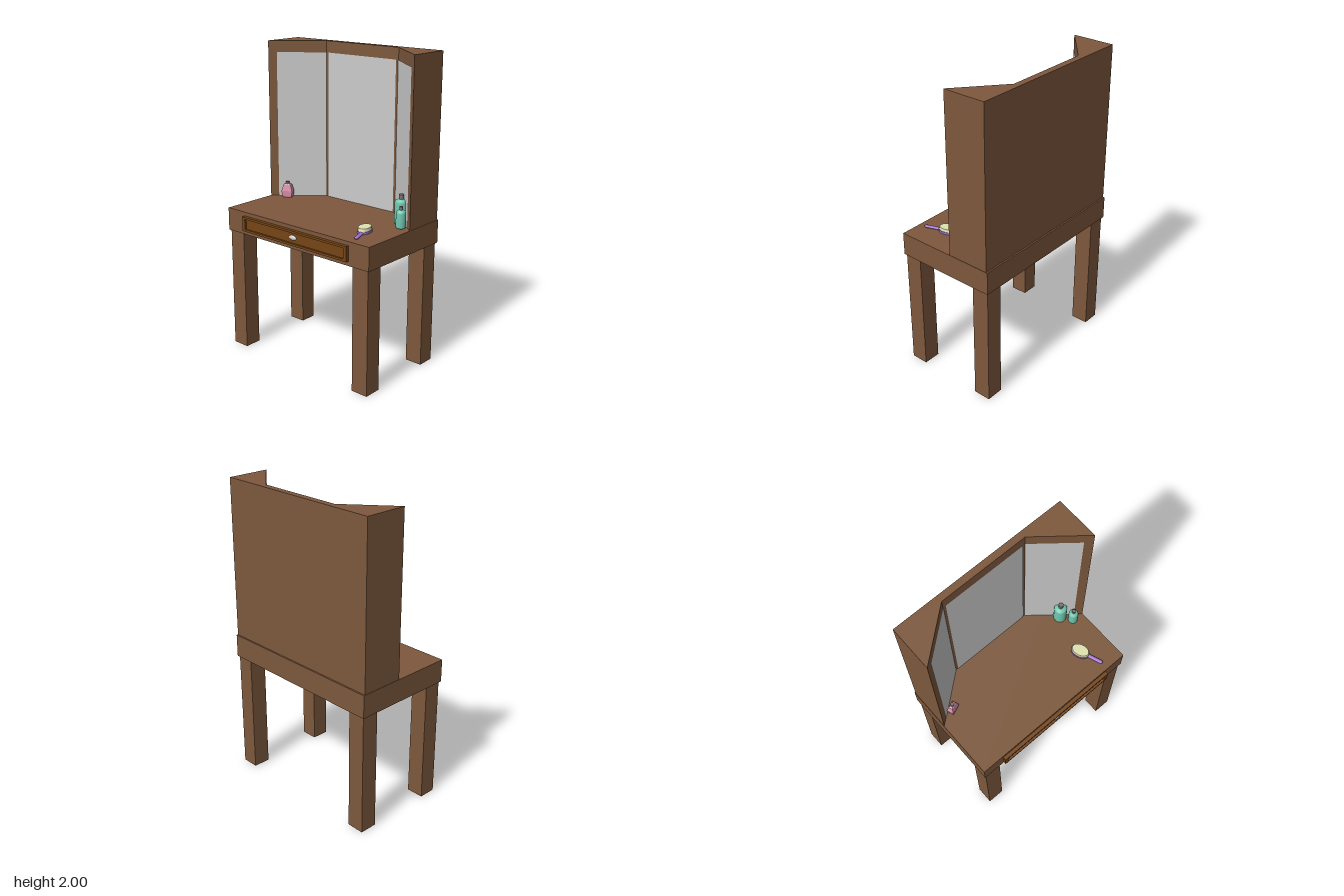
import * as THREE from 'three';

const mat = (color, extra = {}) => new THREE.MeshStandardMaterial({ color, ...extra });

export function createModel() {
  const model = new THREE.Group();
  const wood = mat(0x7d583c), drawerWood = mat(0x754515), grey = mat(0xcccccc), capGrey = mat(0x777777);
  const glass = mat(0xcccccc, { side: THREE.DoubleSide });
  const green = mat(0x70c8b0), pink = mat(0xd890a8, { flatShading: true });
  const purple = mat(0xa070d0), cream = mat(0xe0e2b0);

  const add = (parent, name, geometry, material, x = 0, y = 0, z = 0) => {
    const mesh = new THREE.Mesh(geometry, material);
    mesh.name = name;
    mesh.position.set(x, y, z);
    parent.add(mesh);
    return mesh;
  };
  const box = (parent, name, w, h, d, material, x, y, z) =>
    add(parent, name, new THREE.BoxGeometry(w, h, d), material, x, y, z);

  // Table body and legs
  box(model, 'tableTop', 1.174, 0.15, 0.685, wood, 0, 0.88, -0.0125);
  for (const x of [-0.518, 0.518])
    for (const z of [-0.288, 0.263]) box(model, 'leg', 0.115, 0.806, 0.115, wood, x, 0.403, z);

  // Angled mirror cabinet: plan outline extruded upward (shape y = -z)
  const plan = [[-0.585, 0.345], [-0.585, 0.06], [-0.292, 0.302], [0.292, 0.302], [0.585, 0.06], [0.585, 0.345]];
  const outline = new THREE.Shape(plan.map(([x, y]) => new THREE.Vector2(x, y)));
  const cabinet = new THREE.ExtrudeGeometry(outline, { depth: 1.045, bevelEnabled: false });
  cabinet.rotateX(-Math.PI / 2);
  add(model, 'mirrorCabinet', cabinet, wood, 0, 0.955, 0);

  // Three mirror panes lying on the cabinet's inner faces
  const paneHeight = 0.97, paneY = 0.955 + paneHeight / 2;
  add(model, 'centreMirror', new THREE.PlaneGeometry(0.55, paneHeight), glass, 0, paneY, -0.299);
  const angle = Math.atan2(0.242, 0.293);
  for (const s of [-1, 1]) {
    const pane = add(model, s < 0 ? 'rightMirror' : 'leftMirror',
      new THREE.PlaneGeometry(0.25 / Math.cos(angle), paneHeight), glass, s * 0.416, paneY, -0.1965);
    pane.rotation.y = -s * angle;
  }

  // Drawer front: rim with recessed panel and an oval knob
  const drawer = new THREE.Group();
  drawer.name = 'drawer';
  drawer.position.set(0, 0.882, 0.33);
  model.add(drawer);
  const rectPath = (path, w, h) => path.moveTo(-w, -h).lineTo(w, -h).lineTo(w, h).lineTo(-w, h).closePath();
  const rim = rectPath(new THREE.Shape(), 0.435, 0.048);
  rim.holes.push(rectPath(new THREE.Path(), 0.412, 0.034));
  add(drawer, 'drawerRim', new THREE.ExtrudeGeometry(rim, { depth: 0.023, bevelEnabled: false }), drawerWood);
  box(drawer, 'drawerPanel', 0.83, 0.07, 0.01, drawerWood, 0, 0, 0.005);
  add(drawer, 'drawerKnob', new THREE.SphereGeometry(1, 24, 12), grey, 0, 0, 0.01).scale.set(0.03, 0.016, 0.013);

  // Round bottles: sharp-cornered lathe body, neck and cap
  const bottle = (x, z, r, h) => {
    const g = new THREE.Group();
    g.name = 'greenBottle';
    g.position.set(x, 0.955, z);
    model.add(g);
    const profile = [[0, 0], [r * 0.85, 0], [r, 0.008], [r, h - 0.022], [r * 0.85, h - 0.008], [r * 0.4, h], [0, h]];
    add(g, 'bottleBody', new THREE.LatheGeometry(profile.map(p => new THREE.Vector2(...p)), 24), green);
    add(g, 'bottleCap', new THREE.CylinderGeometry(r * 0.36, r * 0.36, r * 0.7, 16), capGrey, 0, h + r * 0.35, 0);
  };
  bottle(0.459, -0.14, 0.042, 0.158);
  bottle(0.51, -0.07, 0.031, 0.115);

  // Faceted perfume bottle, stacked from tapered four-sided segments
  const perfume = new THREE.Group();
  perfume.name = 'perfumeBottle';
  perfume.position.set(-0.472, 0.955, -0.107);
  perfume.rotation.y = 0.38;
  model.add(perfume);
  const levels = [[0, 0.028], [0.012, 0.034], [0.045, 0.038], [0.088, 0.025], [0.096, 0.014]];
  for (let i = 1; i < levels.length; i++) {
    const [y0, r0] = levels[i - 1], [y1, r1] = levels[i];
    const seg = new THREE.CylinderGeometry(r1 * Math.SQRT2, r0 * Math.SQRT2, y1 - y0, 4);
    seg.rotateY(Math.PI / 4).scale(1, 1, 0.58);
    add(perfume, 'perfumeBody', seg, pink, 0, (y0 + y1) / 2, 0);
  }
  add(perfume, 'perfumeCap', new THREE.CylinderGeometry(0.011, 0.011, 0.014, 16), capGrey, 0, 0.101, 0);

  // Hand mirror lying on the table, handle along local +z
  const hand = new THREE.Group();
  hand.name = 'handMirror';
  hand.position.set(0.393, 0.955, 0.13);
  hand.rotation.y = 0.35;
  model.add(hand);
  const disc = new THREE.CylinderGeometry(1, 1, 1, 32);
  add(hand, 'handMirrorBack', disc, purple, 0, 0.009, 0).scale.set(0.043, 0.014, 0.064);
  add(hand, 'handMirrorFace', new THREE.CylinderGeometry(0.92, 1, 1, 32), cream, 0, 0.025, 0).scale.set(0.04, 0.02, 0.061);
  const handle = new THREE.CapsuleGeometry(0.013, 0.085, 6, 12);
  handle.rotateX(Math.PI / 2).scale(1, 0.6, 1);
  add(hand, 'handMirrorHandle', handle, purple, 0, 0.009, 0.106);

  return model;
}
